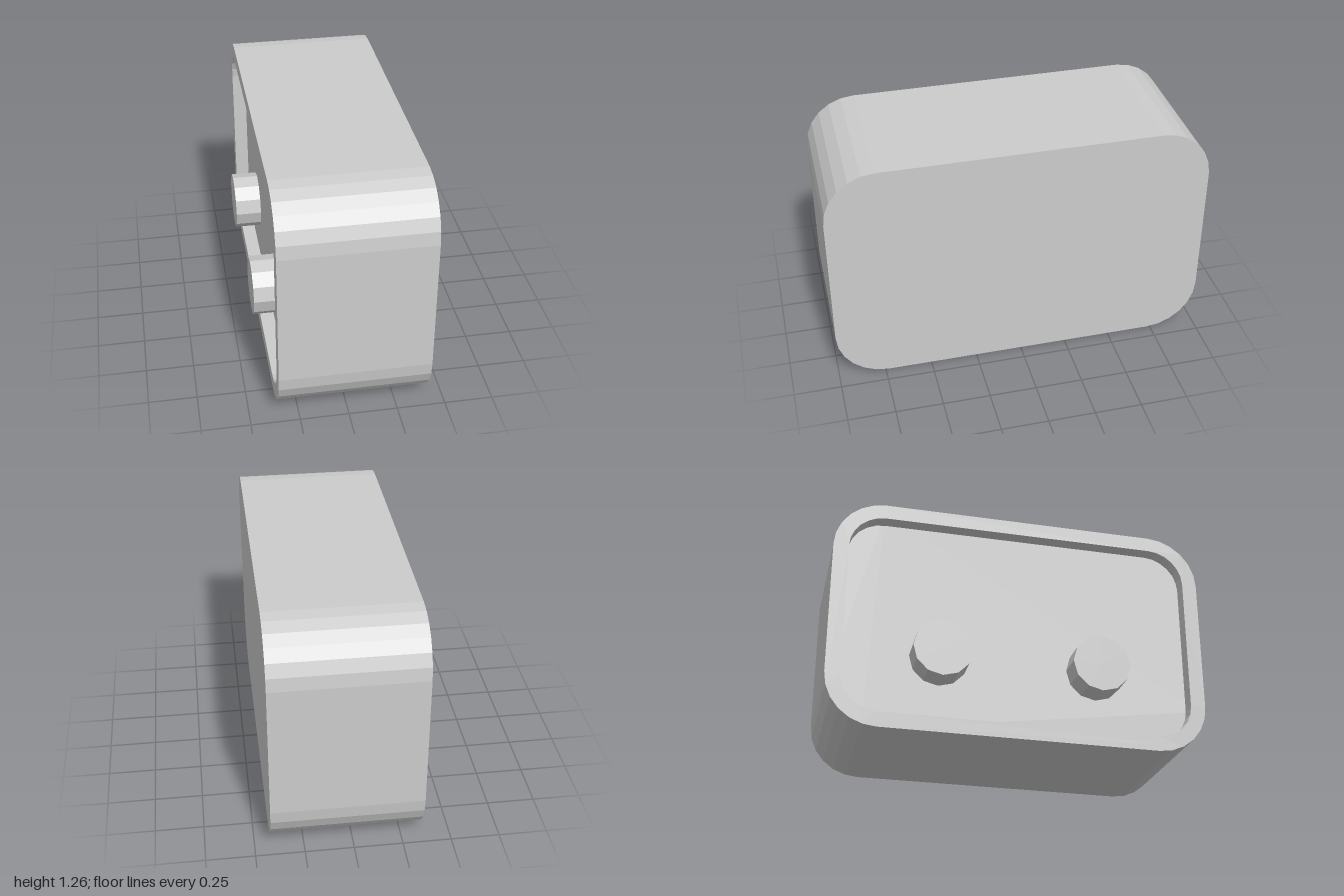
import * as THREE from 'three';

const HALF_LENGTH = 1, HEIGHT = 1.26, CORNER = 0.27, RIM = 0.08;
const BACK_X = -0.355, FLOOR_X = -0.28, FRONT_X = 0.42;

// Rounded rectangle in the side plane, shrunk by an inset
function outline(Type, inset) {
  const a = HALF_LENGTH - inset, lo = inset, hi = HEIGHT - inset, r = CORNER - inset;
  const p = new Type();
  p.absarc(a - r, hi - r, r, 0, Math.PI / 2);
  p.absarc(-a + r, hi - r, r, Math.PI / 2, Math.PI);
  p.absarc(-a + r, lo + r, r, Math.PI, Math.PI * 1.5);
  p.absarc(a - r, lo + r, r, Math.PI * 1.5, Math.PI * 2);
  p.closePath();
  return p;
}

// Extrude a side-plane shape across x
function slab(shape, x0, x1) {
  return new THREE.ExtrudeGeometry(shape, { depth: x1 - x0, bevelEnabled: false, curveSegments: 3 })
    .rotateY(Math.PI / 2)
    .translate(x0, 0, 0);
}

export function createModel() {
  const model = new THREE.Group();
  model.name = 'roundedCase';
  const grey = new THREE.MeshStandardMaterial({ color: 0xcccccc, flatShading: true });
  grey.name = 'light grey';

  const add = (name, geometry) => {
    const mesh = new THREE.Mesh(geometry, grey);
    mesh.name = name;
    model.add(mesh);
    return mesh;
  };

  // Solid body, up to the floor of the recess
  add('body', slab(outline(THREE.Shape, 0), FLOOR_X, FRONT_X));

  // Raised rim around the recessed panel
  const ring = outline(THREE.Shape, 0);
  ring.holes.push(outline(THREE.Path, RIM));
  add('rim', slab(ring, BACK_X, FLOOR_X));

  // Two twelve-sided pegs standing on the recessed panel
  const pegLength = 0.14;
  const peg = new THREE.CylinderGeometry(0.154, 0.154, pegLength, 12).rotateZ(Math.PI / 2);
  for (const [name, z] of [['frontPeg', 0.416], ['backPeg', -0.419]]) {
    add(name, peg).position.set(FLOOR_X - pegLength / 2, 0.433, z);
  }
  return model;
}
